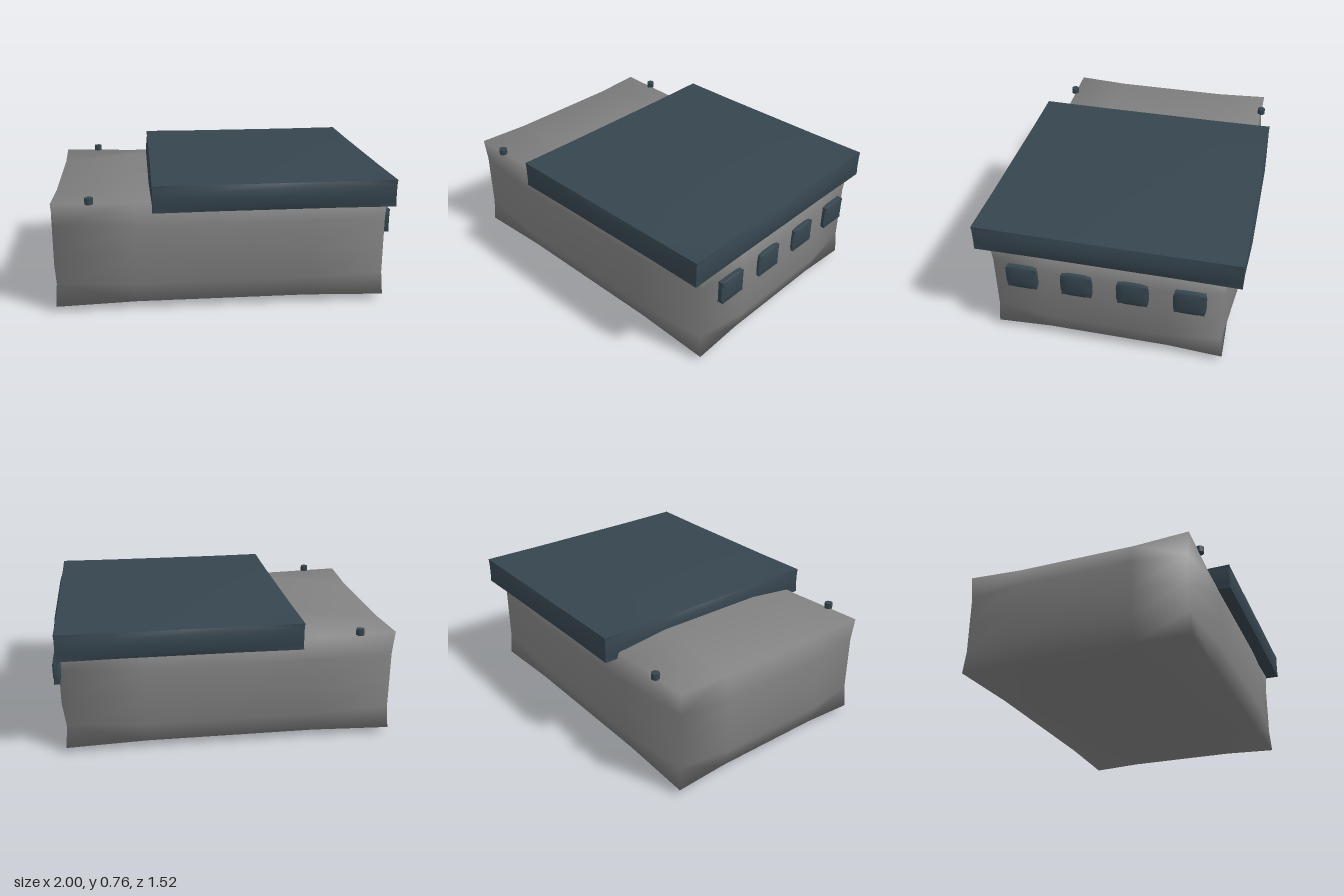
import * as THREE from 'three';
import { mergeVertices, toCreasedNormals } from 'three/addons/utils/BufferGeometryUtils.js';

// Slightly puffed box: vertices on edges and corners are pulled inward.
function puffedBox(min, max, edge, corner, smooth) {
  const size = max.map((v, i) => v - min[i]);
  let geo = new THREE.BoxGeometry(...size, 4, 4, 4);
  geo.deleteAttribute('normal');
  geo.deleteAttribute('uv');
  geo = mergeVertices(geo);
  const pos = geo.attributes.position;
  const isCorner = [];
  for (let i = 0; i < pos.count; i++) {
    const p = [pos.getX(i), pos.getY(i), pos.getZ(i)];
    const outer = p.map((v, k) => Math.abs(v) > size[k] * 0.49);
    const n = outer.filter(Boolean).length;
    const inset = n === 3 ? corner : n === 2 ? edge : 0;
    isCorner.push(n === 3);
    pos.setXYZ(i, ...p.map((v, k) => (outer[k] ? v - Math.sign(v) * inset : v)));
  }
  // Cut every corner quad across, so the corner is its own triangle
  const index = Array.from(geo.index.array);
  for (let i = 0; i < index.length; i += 6) {
    const [a, b, d, , c] = index.slice(i, i + 6);
    if (isCorner[b] || isCorner[d]) index.splice(i, 6, a, b, c, a, c, d);
  }
  geo.setIndex(index);
  geo.translate(...min.map((v, i) => (v + max[i]) / 2));
  if (smooth) {
    geo.computeVertexNormals();
    return geo;
  }
  return toCreasedNormals(geo, 0.5);
}

export function createModel() {
  const group = new THREE.Group();
  const grey = new THREE.MeshStandardMaterial({ color: 0x808080 });
  grey.name = 'grey';
  const charcoal = new THREE.MeshStandardMaterial({ color: 0x36454f });
  charcoal.name = 'charcoal';

  const add = (name, geo, mat) => {
    const mesh = new THREE.Mesh(geo, mat);
    mesh.name = name;
    group.add(mesh);
    return mesh;
  };

  // Main hull
  add('body', puffedBox([-1, 0, -0.7], [0.975, 0.68, 0.7], 0.043, 0.033, true), grey);

  // Overhanging slab
  add('roof', puffedBox([-0.42, 0.588, -0.758], [0.975, 0.765, 0.758], 0.013, 0.011, false), charcoal);

  // Row of windows on the +x end
  for (const z of [0.475, 0.159, -0.158, -0.475]) {
    add('window', puffedBox([0.952, 0.378, z - 0.091], [0.998, 0.53, z + 0.091], 0.007, 0.006, false), charcoal);
  }

  // Small knobs near the two upper side edges
  for (const side of [1, -1]) {
    const knob = add('knob', new THREE.CylinderGeometry(0.024, 0.024, 0.036, 12), charcoal);
    knob.position.set(-0.755, 0.658, side * 0.666);
  }
  return group;
}
